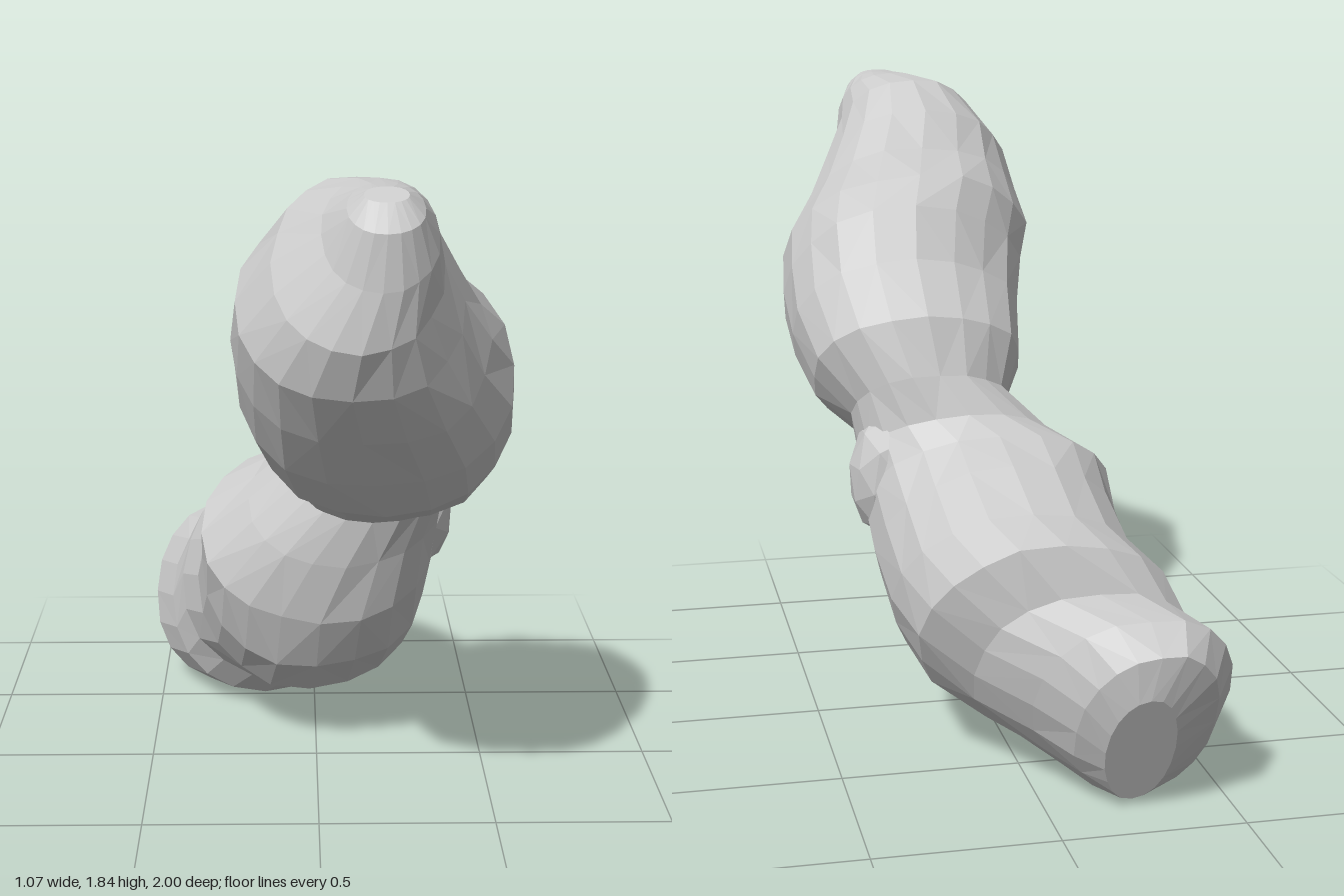
import * as THREE from 'three';

const SIDES = 20;

// Cross-sections from the low end to the high end:
// front/lower edge z, y, back/upper edge z, y, then least and greatest x
const SECTIONS = [
  [-0.83, 0.02, -0.99, 0.36, -0.33, -0.14],
  [-0.75, 0.0, -1.0, 0.48, -0.45, -0.07],
  [-0.6, 0.0, -0.91, 0.55, -0.53, 0.02],
  [-0.43, 0.04, -0.76, 0.58, -0.47, 0.15],
  [-0.33, 0.12, -0.72, 0.7, -0.43, 0.28],
  [-0.12, 0.17, -0.58, 0.75, -0.37, 0.33],
  [0.0, 0.28, -0.42, 0.84, -0.35, 0.35],
  [0.08, 0.45, -0.3, 0.9, -0.34, 0.36],
  [0.12, 0.64, -0.24, 0.95, -0.2, 0.37],
  [0.15, 0.78, -0.2, 1.06, -0.07, 0.39],
  [0.25, 0.81, -0.15, 1.22, -0.12, 0.49],
  [0.42, 0.87, 0.0, 1.36, -0.15, 0.53],
  [0.6, 0.93, 0.09, 1.5, -0.19, 0.54],
  [0.72, 1.04, 0.18, 1.58, -0.23, 0.52],
  [0.84, 1.18, 0.36, 1.64, -0.23, 0.44],
  [0.94, 1.32, 0.47, 1.74, -0.22, 0.37],
  [1.0, 1.45, 0.56, 1.83, -0.12, 0.31],
  [1.0, 1.6, 0.7, 1.84, 0.0, 0.29],
  [1.0, 1.74, 0.8, 1.84, 0.06, 0.25],
  [0.95, 1.81, 0.88, 1.84, 0.1, 0.21],
];

// Smooth repeatable unevenness for a rocky surface
const lumps = (x, y, z) =>
  Math.sin(11 * x + 5 * y + 1) * Math.sin(9 * y - 7 * z) * 0.5 +
  Math.sin(23 * x - 17 * z + 2) * Math.sin(19 * y + 13 * x) * 0.5;

const power = (v, p) => Math.sign(v) * Math.abs(v) ** p;

function createBody() {
  const positions = [];
  const index = [];
  for (const [az, ay, bz, by, x0, x1] of SECTIONS) {
    const cx = (x0 + x1) / 2, cy = (ay + by) / 2, cz = (az + bz) / 2;
    for (let j = 0; j < SIDES; j++) {
      const t = (j / SIDES) * Math.PI * 2;
      const c = power(Math.cos(t), 0.92), s = power(Math.sin(t), 0.92);
      const x = cx + (c * (x1 - x0)) / 2;
      const y = cy + (s * (by - ay)) / 2;
      const z = cz + (s * (bz - az)) / 2;
      const k = 1 + 0.045 * lumps(x, y, z);
      positions.push(
        cx + (x - cx) * k,
        THREE.MathUtils.clamp(cy + (y - cy) * k, 0, 1.84),
        THREE.MathUtils.clamp(cz + (z - cz) * k, -1, 1)
      );
    }
  }
  const last = SECTIONS.length - 1;
  for (let i = 0; i < last; i++) {
    for (let j = 0; j < SIDES; j++) {
      const a = i * SIDES + j, b = i * SIDES + ((j + 1) % SIDES);
      const c = b + SIDES, d = a + SIDES;
      // alternate the diagonal for an irregular faceted look
      if ((i * 3 + j * 5) % 4 < 2) index.push(a, b, c, a, c, d);
      else index.push(a, b, d, b, c, d);
    }
  }
  // close both ends
  for (const i of [0, last]) {
    const [az, ay, bz, by, x0, x1] = SECTIONS[i];
    const centre = positions.length / 3;
    positions.push((x0 + x1) / 2, (ay + by) / 2, (az + bz) / 2);
    for (let j = 0; j < SIDES; j++) {
      const a = i * SIDES + j, b = i * SIDES + ((j + 1) % SIDES);
      if (i === 0) index.push(centre, b, a);
      else index.push(centre, a, b);
    }
  }
  const geometry = new THREE.BufferGeometry();
  geometry.setAttribute('position', new THREE.Float32BufferAttribute(positions, 3));
  geometry.setIndex(index);
  geometry.computeVertexNormals();
  return geometry;
}

// Small knob on the left side of the waist
function createKnob() {
  const geometry = new THREE.IcosahedronGeometry(1, 1);
  geometry.scale(0.13, 0.2, 0.12);
  geometry.rotateZ(0.15);
  geometry.translate(0.28, 0.77, -0.1);
  return geometry;
}

export function createModel() {
  const group = new THREE.Group();
  group.name = 'twoLobedRock';
  const material = new THREE.MeshStandardMaterial({ color: 0xcccccc, flatShading: true });
  const parts = { rockBody: createBody(), waistKnob: createKnob() };
  for (const [name, geometry] of Object.entries(parts)) {
    const mesh = new THREE.Mesh(geometry, material);
    mesh.name = name;
    group.add(mesh);
  }
  return group;
}
